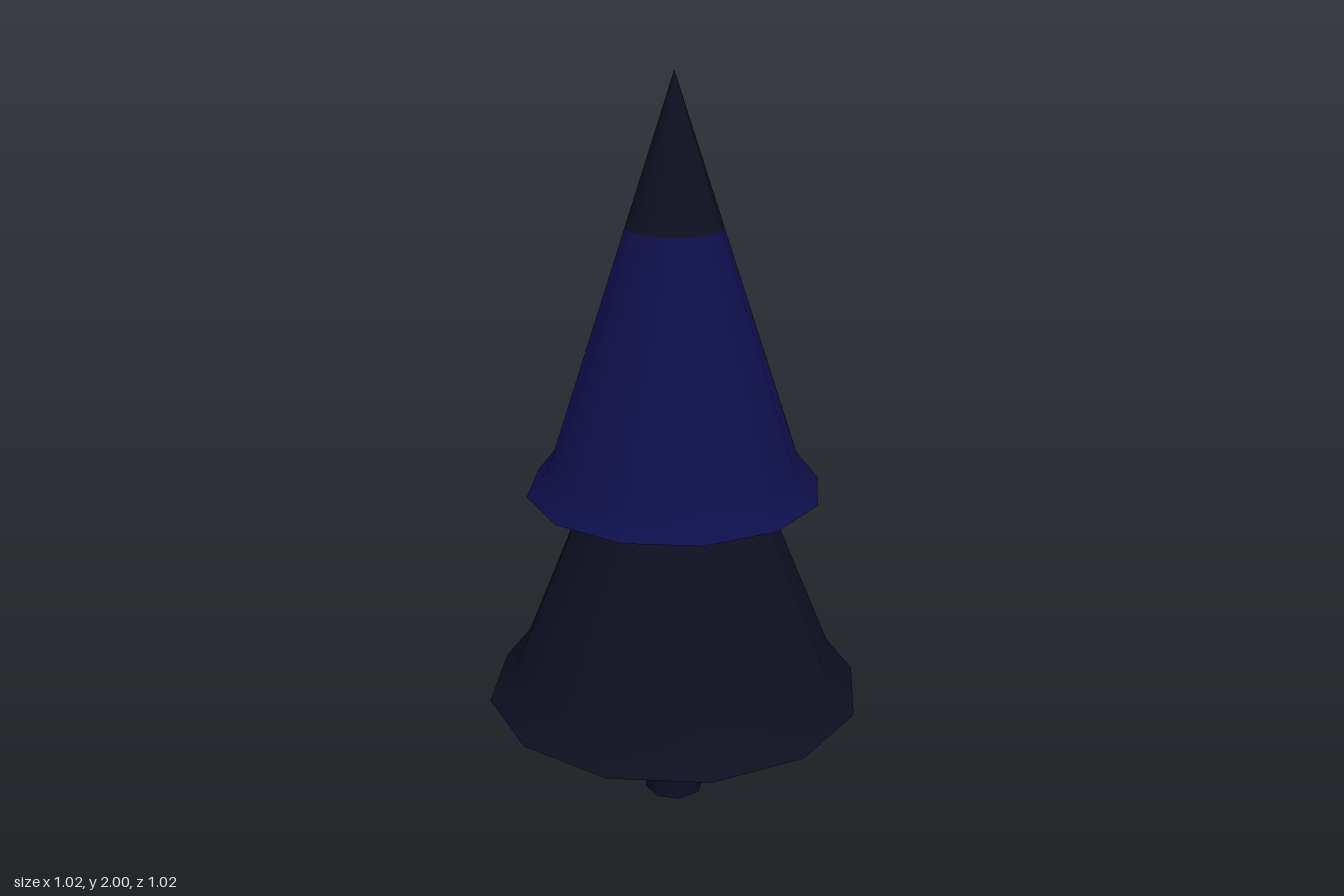
import * as THREE from 'three';

const SIDES = 12;

export function createModel() {
  const tree = new THREE.Group();
  tree.name = 'tree';

  const makeMaterial = (name, color) => {
    const material = new THREE.MeshStandardMaterial({ color });
    material.name = name;
    return material;
  };
  const darkFoliage = makeMaterial('dark foliage', 0x0f0f21);
  const blueFoliage = makeMaterial('blue foliage', 0x0f0f4e);
  const bark = makeMaterial('bark', 0x0e0e26);

  // Turned surface from [radius, height] pairs, bottom to top
  const addTurned = (name, profile, material, sides = SIDES) => {
    const points = profile.map(([r, y]) => new THREE.Vector2(r, y));
    const mesh = new THREE.Mesh(new THREE.LatheGeometry(points, sides), material);
    mesh.name = name;
    tree.add(mesh);
  };

  // Flat underside, kept separate so the rim stays sharp
  const addUnderside = (name, radius, y, material, sides = SIDES) => {
    const disc = new THREE.CircleGeometry(radius, sides).rotateX(Math.PI / 2);
    const mesh = new THREE.Mesh(disc, material);
    mesh.name = name;
    mesh.position.y = y;
    tree.add(mesh);
  };

  // Trunk with a slightly flared foot
  addTurned('trunk', [[0.082, 0], [0.08, 0.05], [0.076, 0.34]], bark, 8);
  addUnderside('trunkBase', 0.082, 0, bark, 8);

  // Lower tier with a flared skirt, closing inside the upper tier
  addTurned('lowerTier', [[0.512, 0.322], [0.436, 0.42], [0, 1.49]], darkFoliage);
  addUnderside('lowerTierUnderside', 0.512, 0.322, darkFoliage);

  // Upper tier, continued by the dark tip
  addTurned('upperTier', [[0.393, 0.915], [0.333, 0.99], [0.127, 1.615]], blueFoliage);
  addUnderside('upperTierUnderside', 0.393, 0.915, blueFoliage);
  addTurned('treeTip', [[0.127, 1.615], [0, 2]], darkFoliage);

  return tree;
}
